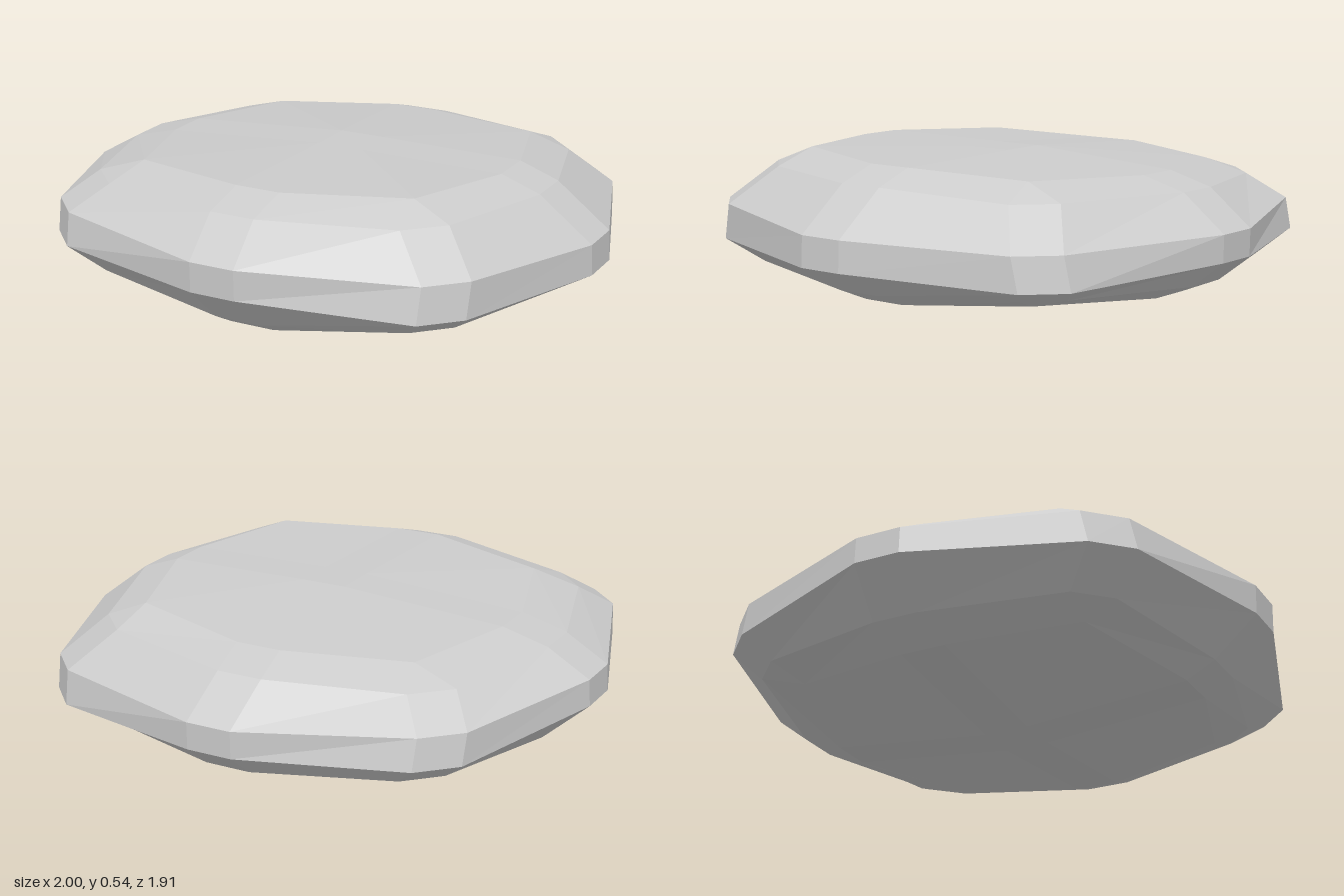
import * as THREE from 'three';

const SIDE_SPLIT = 0.083; // half width of the narrow strip in the middle of each side

// Ring of sixteen points, clockwise from the back seen from above: four sides
// and four corners, each split in two along its tangent.
// side and corner are [x, z] distances, y is [side, corner] height,
// tilt is [slope along x, slope along z], shift moves the ring in [x, z].
function ring({ side, corner, y, tilt = [0, 0], shift = [0, 0], cornerSplit }) {
  const points = [];
  for (let k = 0; k < 8; k++) {
    const isCorner = k % 2;
    const angle = k * Math.PI / 4;
    const [rx, rz] = isCorner ? corner : side;
    const half = isCorner ? cornerSplit : SIDE_SPLIT;
    const dx = Math.sign(Math.round(Math.sin(angle) * 2)) * rx;
    const dz = -Math.sign(Math.round(Math.cos(angle) * 2)) * rz;
    const height = y[isCorner] + tilt[0] * dx + tilt[1] * dz;
    const skew = isCorner ? 0 : 0.025 * dz;
    for (const s of [-half, half]) {
      points.push(new THREE.Vector3(
        dx + shift[0] + skew + s * Math.cos(angle),
        height,
        dz + shift[1] + s * Math.sin(angle)
      ));
    }
  }
  return points;
}

// Small central patch: sixteen entries that share four corner points.
function centreRing(x, y) {
  const points = [];
  for (let i = 0; i < 16; i++) {
    const q = Math.floor(((i + 15) % 16) / 4); // back right, front right, front left, back left
    const sx = q < 2 ? 1 : -1;
    const sz = q === 1 || q === 2 ? 1 : -1;
    points.push(new THREE.Vector3(x + sx * SIDE_SPLIT, y, sz * SIDE_SPLIT));
  }
  return points;
}

function stoneGeometry() {
  const rings = [
    // underside
    centreRing(0, 0),
    ring({ side: [0.69, 0.69], corner: [0.57, 0.54], y: [0.06, 0.095], cornerSplit: 0 }),
    ring({ side: [0.84, 0.815], corner: [0.65, 0.63], y: [0.118, 0.14], shift: [0, -0.02], cornerSplit: 0.08 }),
    // rim band
    ring({ side: [1, 0.953], corner: [0.735, 0.72], y: [0.236, 0.22], tilt: [-0.022, 0.026], cornerSplit: 0.085 }),
    ring({ side: [0.995, 0.955], corner: [0.74, 0.695], y: [0.338, 0.338], tilt: [-0.015, 0.031], cornerSplit: 0.085 }),
    // upper bevel and top
    ring({ side: [0.82, 0.782], corner: [0.625, 0.58], y: [0.458, 0.449], tilt: [0.018, 0.032], shift: [-0.02, 0], cornerSplit: 0.085 }),
    ring({ side: [0.663, 0.63], corner: [0.53, 0.49], y: [0.506, 0.504], tilt: [0.027, 0.04], shift: [-0.007, 0], cornerSplit: 0 }),
    centreRing(0.03, 0.53),
  ];

  const positions = [];
  const triangle = (a, b, c) => {
    if (a.equals(b) || b.equals(c) || c.equals(a)) return; // merged corners
    for (const p of [a, b, c]) positions.push(p.x, p.y, p.z);
  };
  const quad = (a, b, c, d) => {
    triangle(a, b, c);
    triangle(a, c, d);
  };

  // bands between neighbouring rings
  for (let r = 0; r < rings.length - 1; r++) {
    const low = rings[r], high = rings[r + 1];
    for (let i = 0; i < 16; i++) {
      const j = (i + 1) % 16;
      quad(low[j], low[i], high[i], high[j]);
    }
  }

  // central patches
  const bottom = rings[0], top = rings[rings.length - 1];
  quad(bottom[1], bottom[5], bottom[9], bottom[13]);
  quad(top[13], top[9], top[5], top[1]);

  const geometry = new THREE.BufferGeometry();
  geometry.setAttribute('position', new THREE.Float32BufferAttribute(positions, 3));
  geometry.computeVertexNormals();
  return geometry;
}

export function createModel() {
  const group = new THREE.Group();
  group.name = 'flatRock';
  const material = new THREE.MeshStandardMaterial({ color: 0xcccccc, flatShading: true });
  const stone = new THREE.Mesh(stoneGeometry(), material);
  stone.name = 'stone';
  group.add(stone);
  return group;
}
